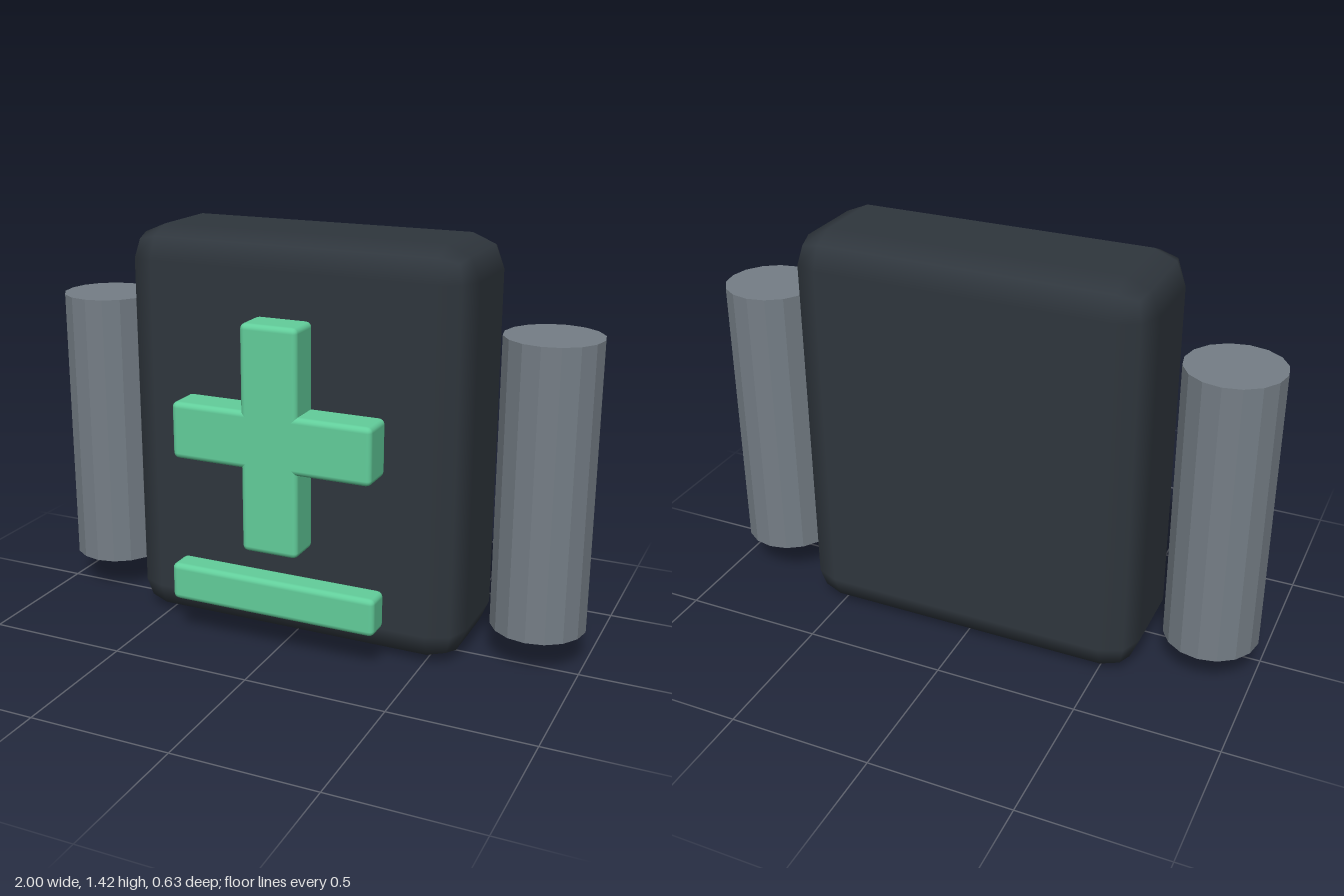
import * as THREE from 'three';
import { RoundedBoxGeometry } from 'three/addons/geometries/RoundedBoxGeometry.js';

export function createModel() {
  const model = new THREE.Group();
  const material = (name, color, flatShading = false) =>
    Object.assign(new THREE.MeshStandardMaterial({ color, flatShading }), { name });
  const charcoal = material('charcoal', 0x2f363d);
  const green = material('mint green', 0x62ce9b);
  const grey = material('steel grey', 0x757e86, true);

  // Rounded block given by its size, centre, edge radius and edge segments
  function block(name, mat, [w, h, d], [x, y, z], radius, segments) {
    const mesh = new THREE.Mesh(new RoundedBoxGeometry(w, h, d, segments, radius), mat);
    mesh.name = name;
    mesh.position.set(x, y, z);
    model.add(mesh);
  }

  // Pack body with broad bevelled edges
  block('packBody', charcoal, [1.245, 1.425, 0.485], [0, 0.7125, -0.07], 0.113, 1);

  // Raised cross and the bar below it
  block('crossUpright', green, [0.205, 0.79, 0.135], [0, 0.77, 0.246], 0.02, 2);
  block('crossArm', green, [0.725, 0.2, 0.135], [0, 0.77, 0.246], 0.02, 2);
  block('lowerBar', green, [0.76, 0.135, 0.1], [0, 0.212, 0.263], 0.02, 2);

  // Upright canister on each side
  for (const [side, name] of [[1, 'leftCanister'], [-1, 'rightCanister']]) {
    const canister = new THREE.Mesh(new THREE.CylinderGeometry(0.165, 0.165, 1.01, 16), grey);
    canister.name = name;
    canister.position.set(side * 0.835, 0.63, -0.07);
    model.add(canister);
  }
  return model;
}
